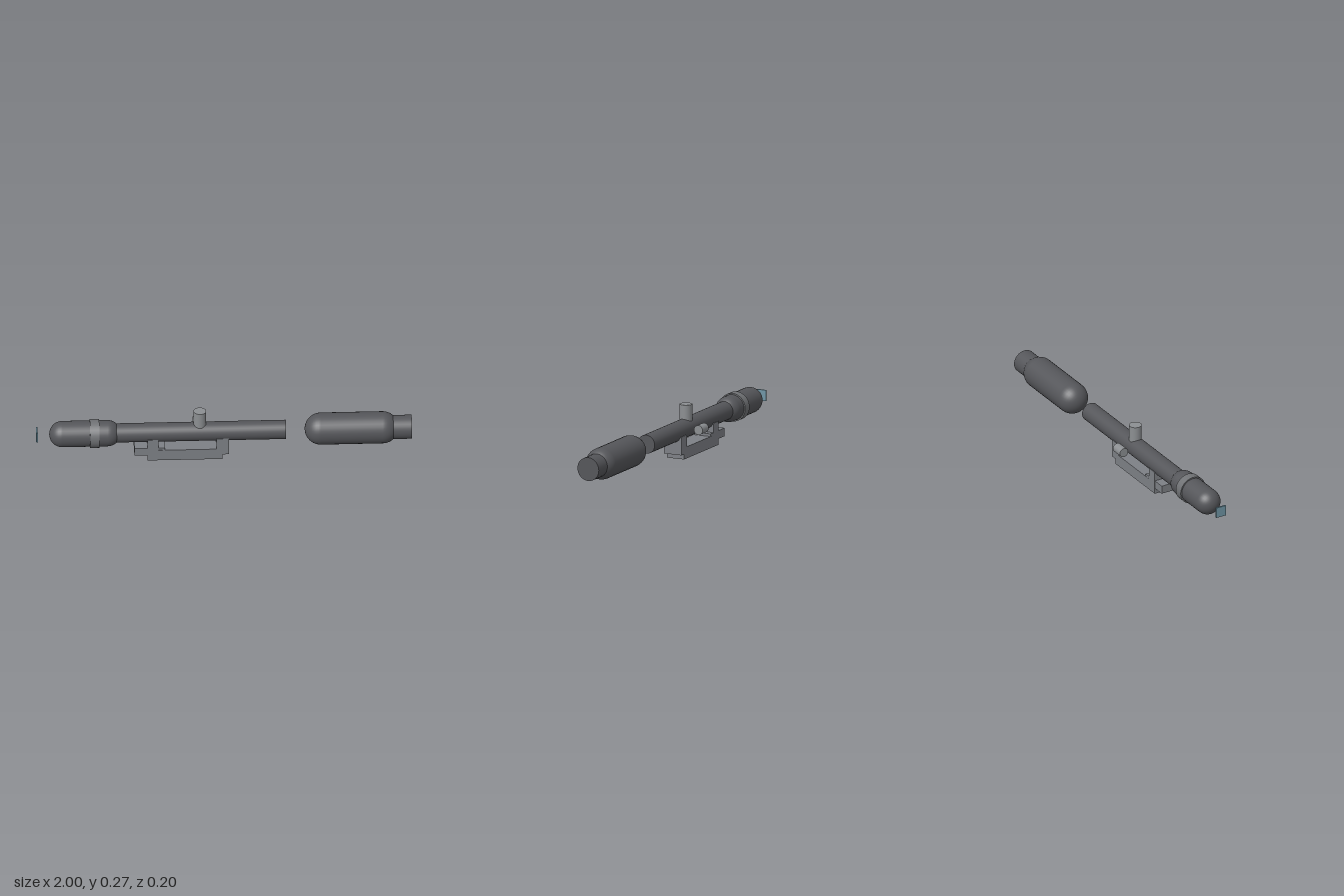
import * as THREE from 'three';

const AXIS_Y = 0.146, AXIS_Z = 0.017;

export function createModel() {
  const model = new THREE.Group();
  model.name = 'riflescope';
  const mat = (color) => new THREE.MeshStandardMaterial({ color });
  const dark = mat(0x55565a), ringGrey = mat(0x707275), mountGrey = mat(0x7d8085);
  const knobGrey = mat(0x8c8f92), glass = mat(0x6f95a5);

  const add = (name, geometry, material, x, y = AXIS_Y, z = AXIS_Z) => {
    const mesh = new THREE.Mesh(geometry, material);
    mesh.name = name;
    mesh.position.set(x, y, z);
    model.add(mesh);
  };
  // Cylinder along x from x0 to x1
  const rod = (name, r, x0, x1, material, y, z) =>
    add(name, new THREE.CylinderGeometry(r, r, x1 - x0, 32).rotateZ(-Math.PI / 2), material, (x0 + x1) / 2, y, z);
  // Capsule along x with its poles at x0 and x1
  const capsule = (name, r, x0, x1) =>
    add(name, new THREE.CapsuleGeometry(r, x1 - x0 - 2 * r, 10, 32).rotateZ(-Math.PI / 2), dark, (x0 + x1) / 2);
  // Box given by its x and y limits and its depth
  const block = (name, x0, x1, y0, y1, depth, material) =>
    add(name, new THREE.BoxGeometry(x1 - x0, y1 - y0, depth), material, (x0 + x1) / 2, (y0 + y1) / 2);

  // Optical body
  rod('mainTube', 0.051, -0.68, 0.33, dark);
  capsule('eyepiece', 0.07, -0.93, -0.55);
  rod('focusRing', 0.077, -0.714, -0.664, ringGrey);
  capsule('objectiveBell', 0.0855, 0.43, 0.93);
  rod('objectiveRim', 0.064, 0.83, 1, dark);
  block('eyepieceLens', -1, -0.992, 0.117, 0.176, 0.06, glass);

  // Adjustment knobs
  add('elevationKnob', new THREE.CylinderGeometry(0.034, 0.034, 0.094, 32), knobGrey, -0.128, 0.227);
  rod('windageKnob', 0.026, -0.163, -0.093, knobGrey, 0.147, -0.075);

  // Mount
  block('mountBase', -0.408, -0.008, 0, 0.063, 0.102, mountGrey);
  block('rearMountPost', -0.408, -0.35, 0.03, 0.128, 0.102, mountGrey);
  block('frontMountPost', -0.04, 0.024, 0.029, 0.128, 0.102, mountGrey);
  block('clampBlock', -0.478, -0.315, 0.032, 0.077, 0.1, mountGrey);

  return model;
}
